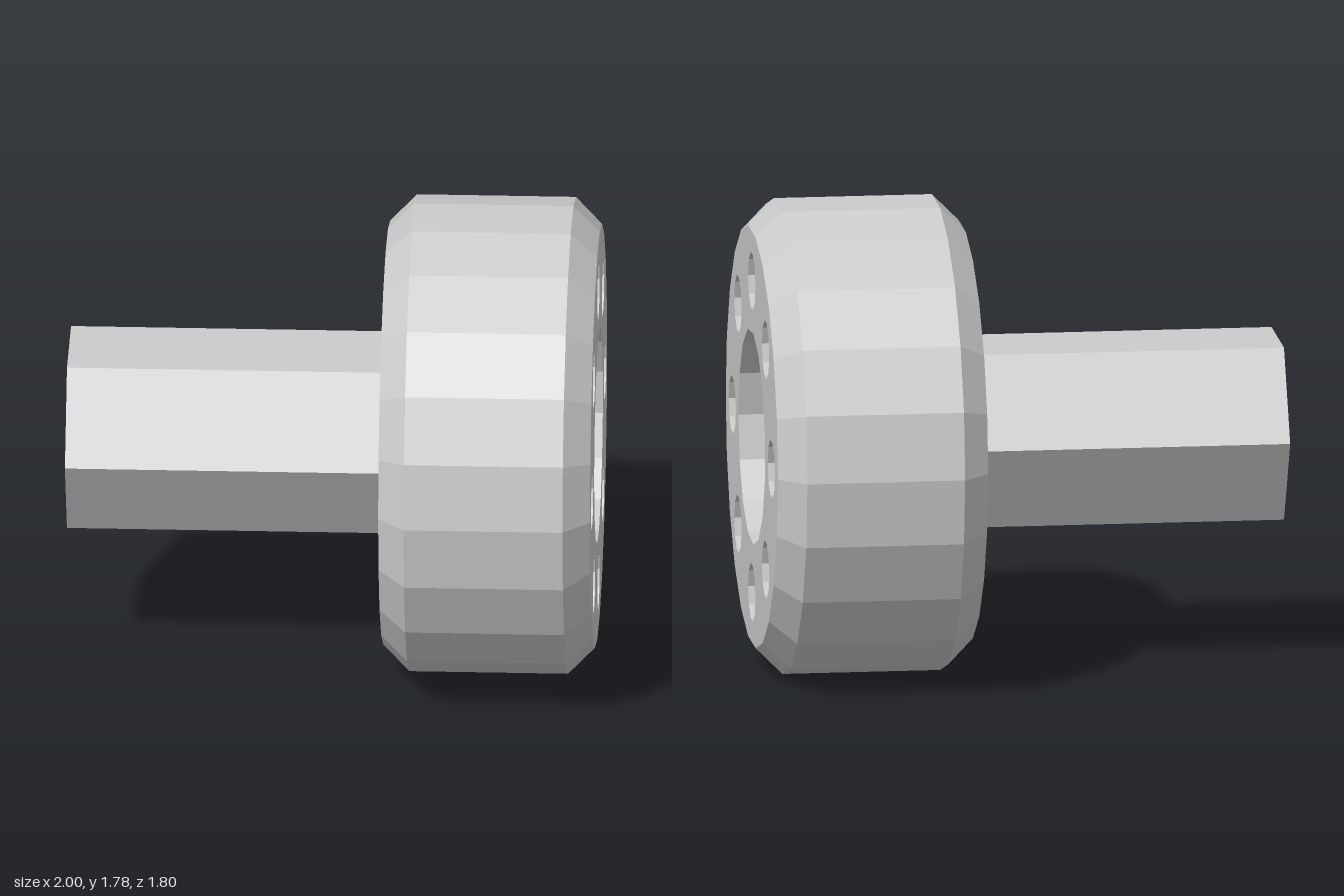
import * as THREE from 'three';

const CENTRE_Y = 0.891;
const grey = new THREE.MeshStandardMaterial({ color: 0xcccccc });
grey.name = 'light grey';

// Regular polygon around (cx, cy) in the plane across the axle
function ring(r, n, cx = 0, cy = 0) {
  return Array.from({ length: n }, (_, i) => {
    const a = Math.PI + (i / n) * Math.PI * 2;
    return new THREE.Vector2(cx + r * Math.cos(a), cy + r * Math.sin(a));
  });
}

// Flat-sided wall joining two matching rings; inward turns it into a bore
function wall(name, a, za, b, zb, inward = false) {
  const pos = [];
  const n = a.length;
  for (let i = 0; i < n; i++) {
    const j = (i + 1) % n;
    const p = [[a[i], za], [a[j], za], [b[j], zb], [b[i], zb]];
    const order = inward ? [0, 2, 1, 0, 3, 2] : [0, 1, 2, 0, 2, 3];
    for (const k of order) pos.push(p[k][0].x, p[k][0].y, p[k][1]);
  }
  const g = new THREE.BufferGeometry();
  g.setAttribute('position', new THREE.Float32BufferAttribute(pos, 3));
  g.computeVertexNormals();
  return named(name, g);
}

// Flat face with holes, facing along the axle, or backwards
function face(name, outline, holes, z, backwards = false) {
  const shape = new THREE.Shape(outline);
  shape.holes = holes.map((h) => new THREE.Path(h));
  const g = new THREE.ShapeGeometry(shape);
  if (backwards) {
    const index = g.index.array;
    for (let i = 0; i < index.length; i += 3) {
      [index[i], index[i + 1]] = [index[i + 1], index[i]];
    }
    g.computeVertexNormals();
  }
  g.translate(0, 0, z);
  return named(name, g);
}

function named(name, geometry) {
  const mesh = new THREE.Mesh(geometry, grey);
  mesh.name = name;
  return mesh;
}

export function createModel() {
  const model = new THREE.Group();
  model.name = 'hubWithShaft';

  // Wheel: chamfered rim
  const wheel = new THREE.Group();
  wheel.name = 'wheel';
  const rim = ring(0.9, 22);
  const lip = ring(0.8, 22);
  wheel.add(
    wall('backChamfer', lip, 0.2, rim, 0.3),
    wall('rim', rim, 0.3, rim, 0.9),
    wall('frontChamfer', rim, 0.9, lip, 1)
  );

  // Eight tapered holes around the hub
  const wide = [];
  const narrow = [];
  for (let i = 0; i < 8; i++) {
    const a = (i / 8) * Math.PI * 2;
    const cx = 0.6 * Math.cos(a);
    const cy = 0.6 * Math.sin(a);
    wide.push(ring(0.19, 10, cx, cy));
    narrow.push(ring(0.112, 10, cx, cy));
    wheel.add(wall('taperedHole', wide[i], 0.2, narrow[i], 1, true));
  }

  // Stepped recess in the outer face
  const recess = ring(0.41, 15);
  const step = ring(0.32, 13);
  const boreWide = ring(0.2, 12);
  const boreNarrow = ring(0.17, 12);
  const hex = ring(0.383, 6);
  wheel.add(
    face('outerFace', lip, [recess, ...narrow], 1),
    wall('recessWall', recess, 0.9, recess, 1, true),
    face('recessStep', recess, [step], 0.9),
    wall('stepWall', step, 0.8, step, 0.9, true),
    face('recessFloor', step, [boreWide], 0.8),
    face('innerFace', lip, [hex, ...wide], 0.2, true)
  );

  // Hexagonal shaft with a tapered bore right through
  const shaft = new THREE.Group();
  shaft.name = 'shaft';
  shaft.add(
    wall('shaftSides', hex, -1, hex, 0.2),
    face('shaftEnd', hex, [boreNarrow], -1, true),
    wall('bore', boreNarrow, -1, boreWide, 0.8, true)
  );

  // Lay the axle along x
  const axle = new THREE.Group();
  axle.name = 'axle';
  axle.add(wheel, shaft);
  axle.rotation.y = Math.PI / 2;
  axle.position.y = CENTRE_Y;
  model.add(axle);
  return model;
}
